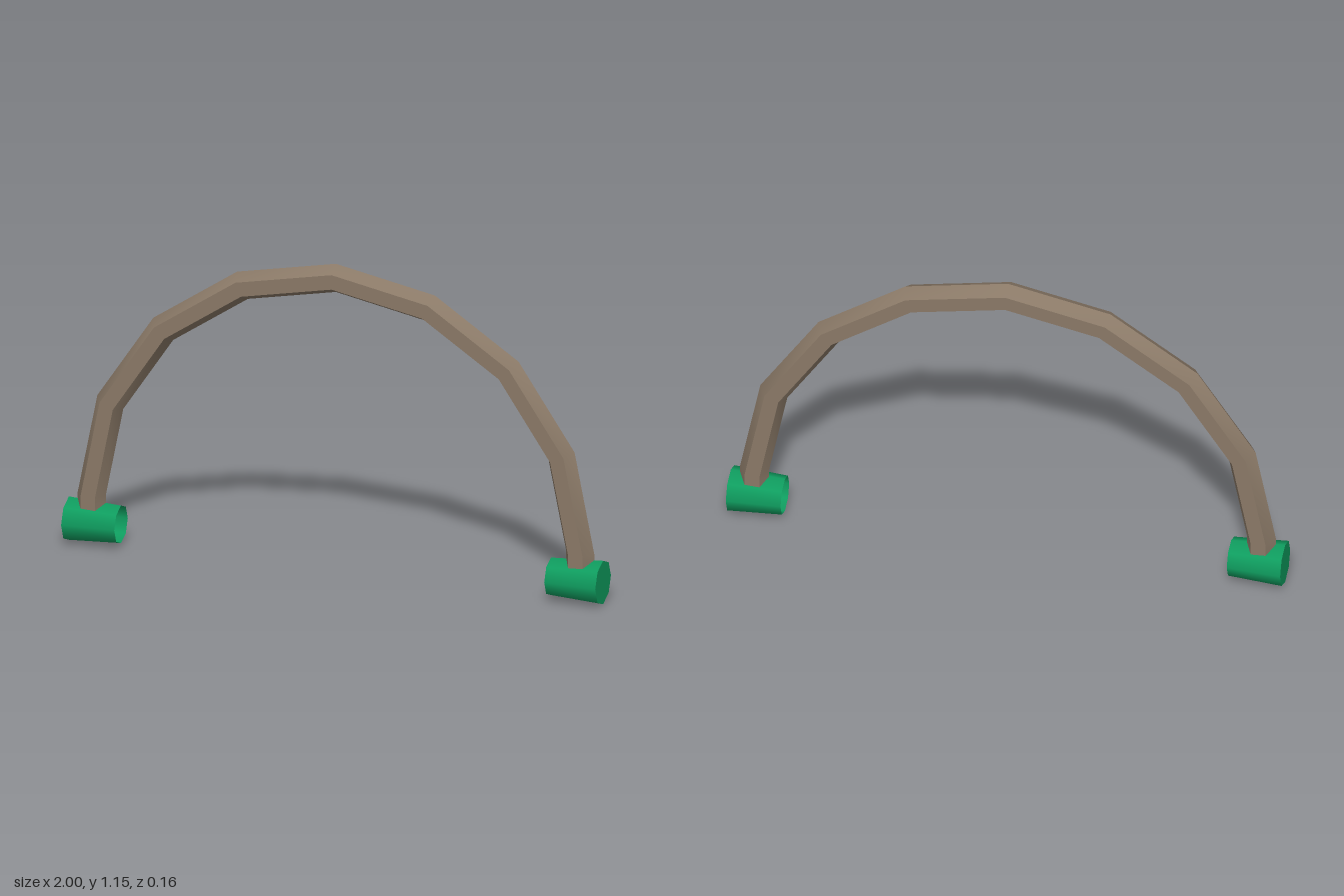
import * as THREE from 'three';
import { toCreasedNormals } from 'three/addons/utils/BufferGeometryUtils.js';

const ARC_Y = 0.183; // height of the arch's centre
// Six-sided band section: [distance from arch centre, z]
const SECTION = [[0.967, 0], [0.94, 0.047], [0.886, 0.047], [0.862, 0], [0.886, -0.047], [0.94, -0.047]];

// Half-circle band in eight segments, with short straight ends reaching into the cups
function bandGeometry() {
  const rings = [[0, 0.135]];
  for (let i = 0; i <= 8; i++) rings.push([(i * Math.PI) / 8, ARC_Y]);
  rings.push([Math.PI, 0.135]);

  const positions = [];
  const index = [];
  const n = SECTION.length;
  for (const [a, y] of rings) {
    for (const [r, z] of SECTION) positions.push(r * Math.cos(a), y + r * Math.sin(a), z);
  }
  for (let i = 0; i < rings.length - 1; i++) {
    for (let j = 0; j < n; j++) {
      const a = i * n + j;
      const b = i * n + ((j + 1) % n);
      index.push(a, b + n, b, a, a + n, b + n);
    }
  }
  // End caps
  const last = (rings.length - 1) * n;
  for (let j = 1; j < n - 1; j++) {
    index.push(0, j, j + 1, last, last + j + 1, last + j);
  }
  const geometry = new THREE.BufferGeometry();
  geometry.setAttribute('position', new THREE.Float32BufferAttribute(positions, 3));
  geometry.setIndex(index);
  return toCreasedNormals(geometry, 0.85);
}

// Eight-sided cup, closed on the outside and open towards the middle
function earCup(side, material) {
  const cup = new THREE.Group();
  cup.name = side > 0 ? 'leftEarCup' : 'rightEarCup';

  const wall = new THREE.Mesh(new THREE.CylinderGeometry(0.081, 0.07, 0.195, 8, 1, true), material);
  wall.name = 'cupWall';
  wall.rotation.z = (-side * Math.PI) / 2;
  wall.position.x = side * 0.9025;

  const cap = new THREE.Mesh(new THREE.CircleGeometry(0.081, 8), material);
  cap.name = 'cupOuterFace';
  cap.rotation.y = (side * Math.PI) / 2;
  cap.position.x = side;

  cup.add(wall, cap);
  cup.position.y = 0.081;
  return cup;
}

export function createModel() {
  const brown = new THREE.MeshStandardMaterial({ color: 0x8a7967 });
  brown.name = 'brown';
  const green = new THREE.MeshStandardMaterial({ color: 0x0f9d5f, side: THREE.DoubleSide });
  green.name = 'green';

  const model = new THREE.Group();
  model.name = 'headphones';
  const band = new THREE.Mesh(bandGeometry(), brown);
  band.name = 'headband';
  model.add(band, earCup(1, green), earCup(-1, green));
  return model;
}
